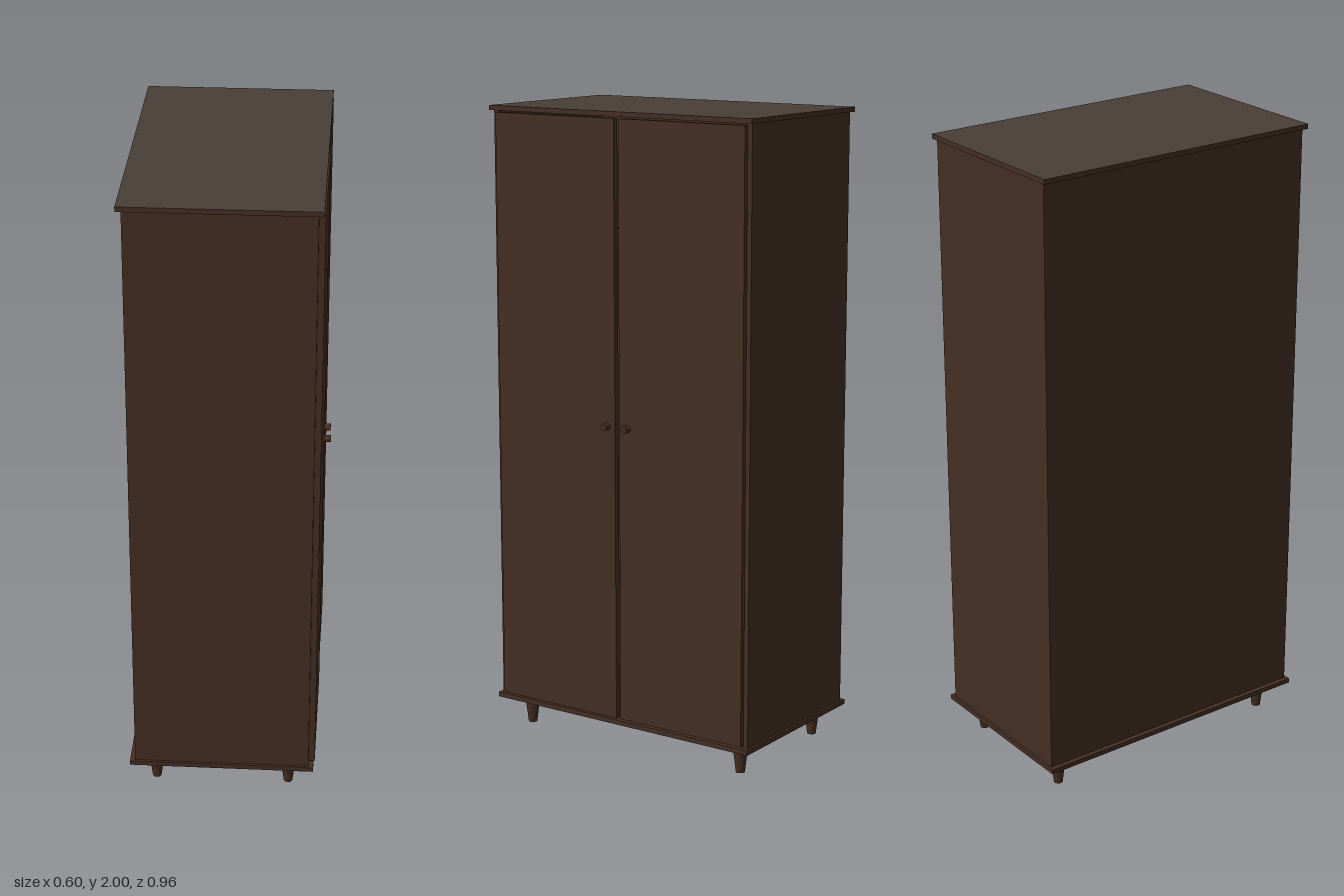
import * as THREE from 'three';

export function createModel() {
  const model = new THREE.Group();
  model.name = 'wardrobe';

  const material = (name, color) => {
    const m = new THREE.MeshStandardMaterial({ color });
    m.name = name;
    return m;
  };
  const wood = material('dark brown wood', 0x452e23);
  const topFinish = material('grey brown top', 0x493f38);

  // Box given by its minimum and maximum corners
  const box = (name, [x0, y0, z0], [x1, y1, z1], mat = wood) => {
    const mesh = new THREE.Mesh(new THREE.BoxGeometry(x1 - x0, y1 - y0, z1 - z0), mat);
    mesh.position.set((x0 + x1) / 2, (y0 + y1) / 2, (z0 + z1) / 2);
    mesh.name = name;
    model.add(mesh);
    return mesh;
  };

  const bottom = 0.107, top = 1.985;

  // Overhanging top and bottom boards; only the upper face has the grey finish
  box('topBoard', [-0.302, top, -0.48], [0.277, 2, 0.48],
    [wood, wood, topFinish, wood, wood, wood]);
  box('bottomBoard', [-0.302, 0.092, -0.48], [0.277, bottom, 0.48]);

  // Hollow carcass
  box('backPanel', [-0.286, bottom, -0.452], [-0.272, top, 0.452]);
  box('hatShelf', [-0.272, 1.69, -0.452], [0.24, 1.705, 0.452]);
  for (const s of [-1, 1]) {
    const z = [s * 0.452, s * 0.472].sort((a, b) => a - b);
    box(s > 0 ? 'frontSidePanel' : 'rearSidePanel', [-0.286, bottom, z[0]], [0.262, top, z[1]]);
  }

  // Hanging rail
  const rail = new THREE.Mesh(new THREE.CylinderGeometry(0.01, 0.01, 0.904, 16), wood);
  rail.rotation.x = Math.PI / 2;
  rail.position.set(0, 1.62, 0);
  rail.name = 'hangingRail';
  model.add(rail);

  // Pair of doors with a narrow gap between them
  box('doorNearFront', [0.262, 0.114, 0.004], [0.281, 1.98, 0.452]);
  box('doorNearBack', [0.26, 0.114, -0.457], [0.278, 1.98, -0.01]);

  // Round knobs
  for (const s of [-1, 1]) {
    const knob = new THREE.Mesh(new THREE.CylinderGeometry(0.011, 0.011, 0.026, 20), wood);
    knob.rotation.z = Math.PI / 2;
    knob.position.set(s > 0 ? 0.289 : 0.286, 1.046, s > 0 ? 0.032 : -0.041);
    knob.name = 'doorKnob';
    model.add(knob);
  }

  // Tapered legs
  for (const x of [-0.224, 0.196]) {
    for (const z of [-0.404, 0.404]) {
      const leg = new THREE.Mesh(new THREE.CylinderGeometry(0.025, 0.014, 0.092, 20), wood);
      leg.position.set(x, 0.046, z);
      leg.name = 'leg';
      model.add(leg);
    }
  }

  return model;
}
